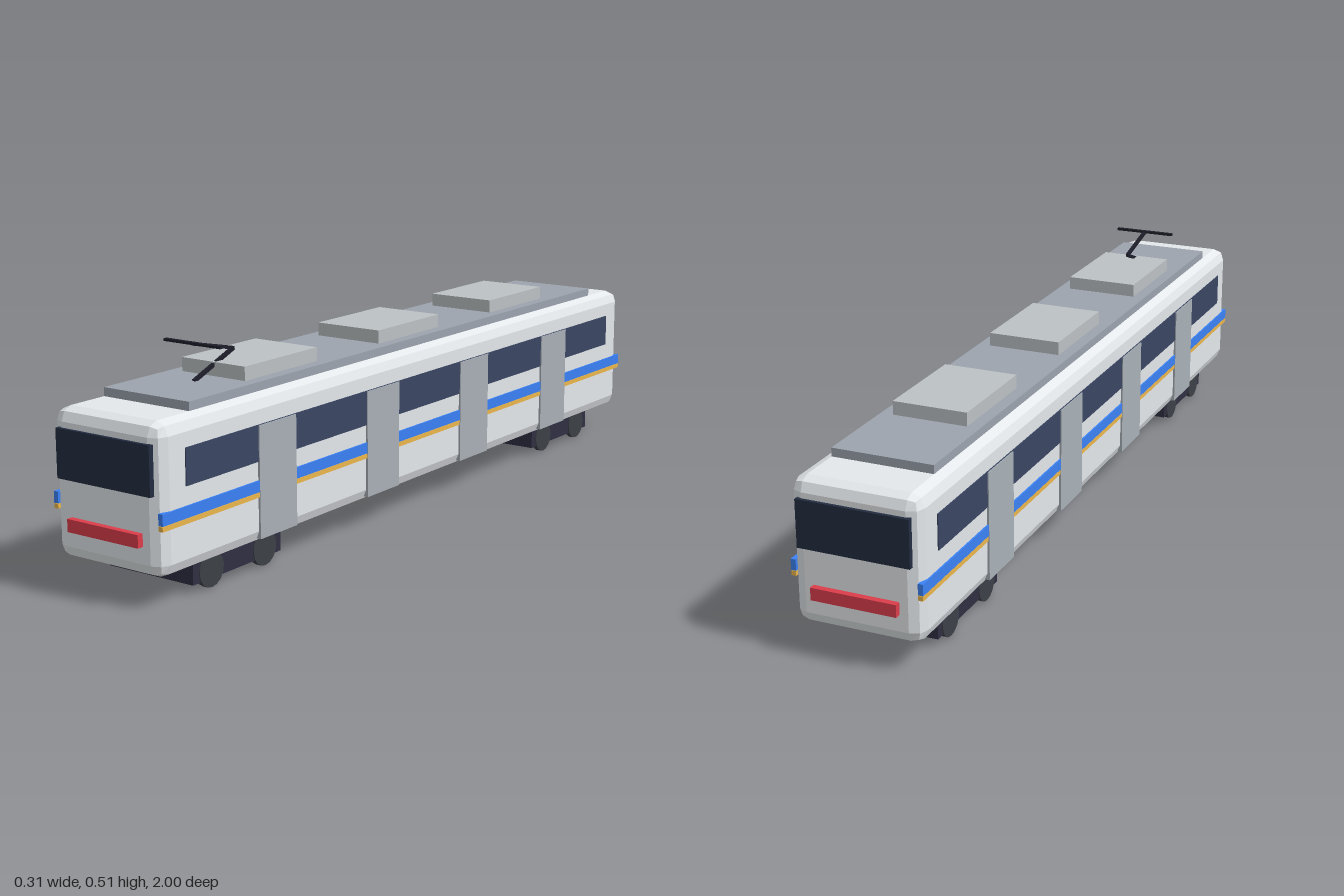
import * as THREE from 'three';
import { RoundedBoxGeometry } from 'three/addons/geometries/RoundedBoxGeometry.js';

const mat = (color, flatShading = false) => new THREE.MeshStandardMaterial({ color, flatShading });

export function createModel() {
  const tram = new THREE.Group();
  tram.name = 'tram';

  const paint = {
    body: mat(0xe4e8eb, true), roof: mat(0x9ca4ae), unit: mat(0xbcc1c4),
    door: mat(0xa8b0b7), window: mat(0x3a4663), windshield: mat(0x222d40),
    blue: mat(0x3b82f6), yellow: mat(0xecb64c), red: mat(0xdc3d4b),
    chassis: mat(0x2f2f42), wheel: mat(0x3c4046), arm: mat(0x1e1e2a),
  };

  const add = (name, geometry, material, x, y, z, parent = tram) => {
    const mesh = new THREE.Mesh(geometry, material);
    mesh.name = name;
    mesh.position.set(x, y, z);
    parent.add(mesh);
    return mesh;
  };
  const box = (name, material, w, h, d, x, y, z, parent) =>
    add(name, new THREE.BoxGeometry(w, h, d), material, x, y, z, parent);

  // Car body with chamfered edges
  add('body', new RoundedBoxGeometry(0.3, 0.333, 1.97, 1, 0.03), paint.body, 0, 0.2335, 0);

  // Roof deck and equipment boxes
  box('roofDeck', paint.roof, 0.24, 0.03, 1.71, 0, 0.405, 0);
  for (const z of [-0.505, 0, 0.505]) box('roofUnit', paint.unit, 0.18, 0.036, 0.26, 0, 0.434, z);

  // Both sides: window band, stripes and doors
  for (const side of [-1, 1]) {
    const name = side > 0 ? 'left' : 'right';
    box(name + 'Windows', paint.window, 0.01, 0.082, 1.81, side * 0.1475, 0.296, 0);
    box(name + 'BlueStripe', paint.blue, 0.012, 0.026, 1.965, side * 0.148, 0.2, 0);
    box(name + 'YellowStripe', paint.yellow, 0.011, 0.011, 1.965, side * 0.148, 0.1805, 0);
    for (const z of [-0.603, -0.201, 0.201, 0.603])
      box(name + 'Door', paint.door, 0.012, 0.256, 0.13, side * 0.149, 0.208, z);
  }

  // Both ends: windshield, bumper and bogie with wheels
  for (const end of [-1, 1]) {
    const name = end > 0 ? 'front' : 'rear';
    box(name + 'Windshield', paint.windshield, 0.262, 0.11, 0.02, 0, 0.302, end * 0.983);
    box(name + 'Bumper', paint.red, 0.2, 0.029, 0.025, 0, 0.15, end * 0.9875);

    const bogie = new THREE.Group();
    bogie.name = name + 'Bogie';
    bogie.position.z = end * 0.705;
    tram.add(bogie);
    box('bogieFrame', paint.chassis, 0.24, 0.055, 0.3, 0, 0.0465, 0, bogie);
    for (const x of [-0.116, 0.116])
      for (const z of [-0.091, 0.091])
        add('wheel', new THREE.CylinderGeometry(0.04, 0.04, 0.013, 16), paint.wheel, x, 0.04, z, bogie)
          .rotation.z = Math.PI / 2;
  }

  // Pantograph: folded arm carrying a crossbar
  const pantograph = new THREE.Group();
  pantograph.name = 'pantograph';
  tram.add(pantograph);
  const joints = [[0.42, 0.7], [0.472, 0.565], [0.503, 0.7]].map(([y, z]) => new THREE.Vector3(0, y, z));
  const names = ['lowerArm', 'upperArm'];
  names.forEach((name, i) => {
    const a = joints[i], b = joints[i + 1];
    const rod = box(name, paint.arm, 0.008, 0.008, a.distanceTo(b), 0, (a.y + b.y) / 2, (a.z + b.z) / 2, pantograph);
    rod.lookAt(b);
  });
  box('contactBar', paint.arm, 0.16, 0.006, 0.01, 0, 0.504, 0.7, pantograph);

  return tram;
}
